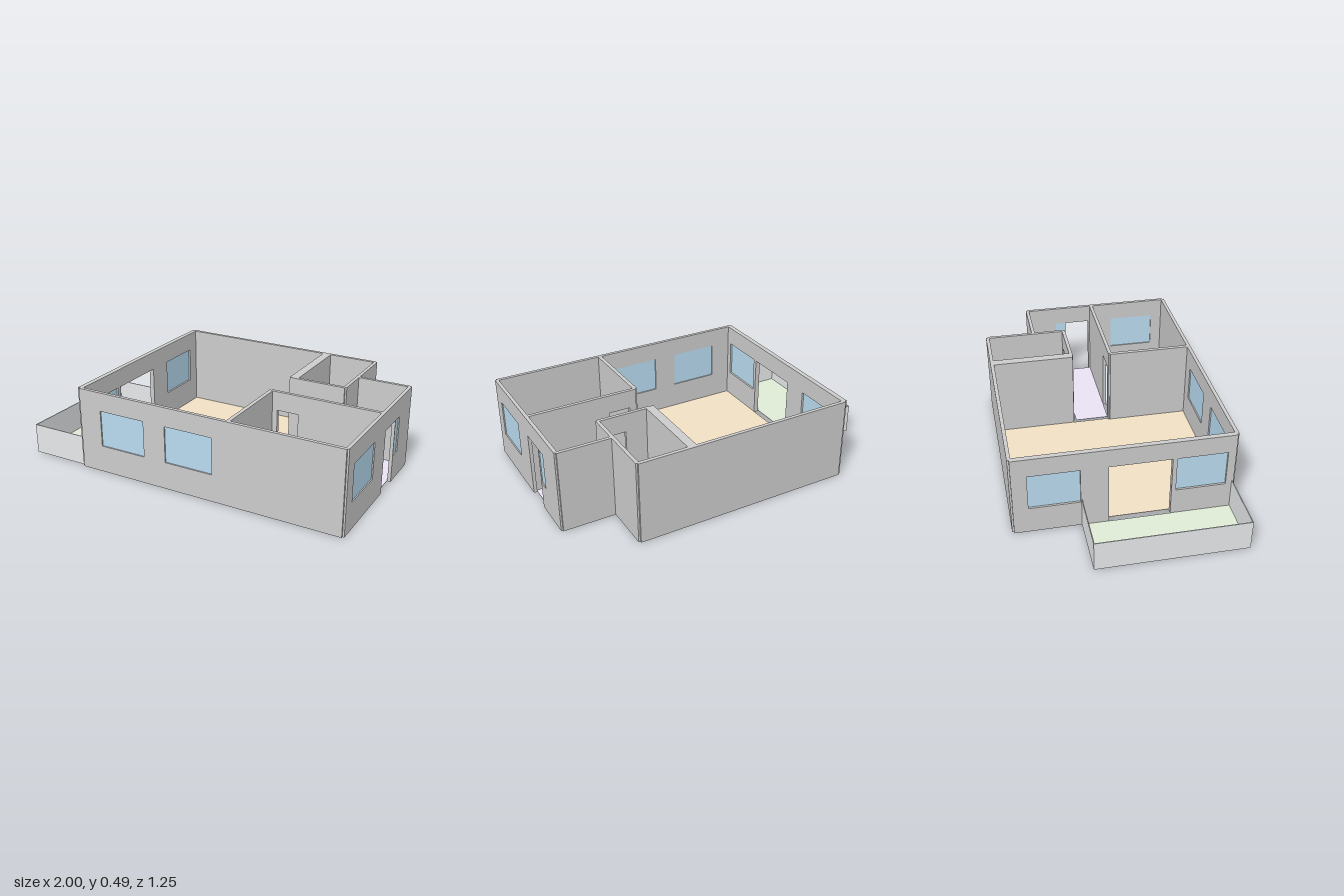
import * as THREE from 'three';

const H = 0.49;        // wall height
const DOOR = 0.378;    // head height of doors and windows
const SILL = 0.162;    // window sill height
const RAIL = 0.18;     // balcony parapet height

const mat = (color) => new THREE.MeshStandardMaterial({ color, side: THREE.DoubleSide });

export function createModel() {
  const model = new THREE.Group();
  const wallMat = mat(0xcccccc);
  const glassMat = mat(0xb8dbf0);
  const railMat = mat(0xe6e8ea);

  const add = (name, geometry, material, parent = model) => {
    const mesh = new THREE.Mesh(geometry, material);
    mesh.name = name;
    parent.add(mesh);
    return mesh;
  };

  // Wall along an axis from a to b, centred on c, with door and window openings
  // (listed as [start, end] in rising order).
  function wall(name, axis, a, b, c, t, { doors = [], windows = [] } = {}) {
    const group = new THREE.Group();
    group.name = name;
    const place = (g, depth) => (axis === 'x'
      ? g.translate(0, 0, c - depth / 2)
      : g.rotateY(-Math.PI / 2).translate(c + depth / 2, 0, 0));

    const shape = new THREE.Shape();
    shape.moveTo(a, 0);
    for (const [s, e] of doors) {
      shape.lineTo(s, 0);
      shape.lineTo(s, DOOR);
      shape.lineTo(e, DOOR);
      shape.lineTo(e, 0);
    }
    shape.lineTo(b, 0);
    shape.lineTo(b, H);
    shape.lineTo(a, H);
    shape.closePath();

    const pane = 0.006;
    for (const [s, e] of windows) {
      const rect = [[s, SILL], [s, DOOR], [e, DOOR], [e, SILL]].map((p) => new THREE.Vector2(...p));
      shape.holes.push(new THREE.Path(rect));
      const glass = new THREE.ExtrudeGeometry(new THREE.Shape(rect), { depth: pane, bevelEnabled: false });
      add('windowPane', place(glass, pane), glassMat, group);
    }
    const body = new THREE.ExtrudeGeometry(shape, { depth: t, bevelEnabled: false });
    add(name + 'Body', place(body, t), wallMat, group);
    model.add(group);
  }

  // Thin floor slab from an outline of [x, z] corners
  function floor(name, color, corners) {
    const shape = new THREE.Shape(corners.map((p) => new THREE.Vector2(...p)));
    const g = new THREE.ExtrudeGeometry(shape, { depth: 0.003, bevelEnabled: false });
    add(name, g.rotateX(Math.PI / 2).translate(0, 0.004, 0), mat(color));
  }
  const rect = (x0, x1, z0, z1) => [[x0, z0], [x1, z0], [x1, z1], [x0, z1]];

  // Outer walls
  wall('frontWall', 'x', -0.631, 0.99, 0.615, 0.021, { windows: [[-0.49, -0.2], [-0.06, 0.235]] });
  wall('backWall', 'x', -0.631, 0.673, -0.615, 0.021);
  wall('balconyWall', 'z', -0.615, 0.615, -0.631, 0.03,
    { doors: [[-0.09, 0.26]], windows: [[-0.53, -0.245], [0.285, 0.57]] });
  wall('entranceWall', 'z', -0.322, 0.615, 0.99, 0.02,
    { doors: [[-0.067, 0.09]], windows: [[-0.135, -0.07], [0.25, 0.535]] });
  wall('hallBackWall', 'x', 0.673, 0.99, -0.322, 0.02);

  // Bathroom walls
  wall('bathroomOuterWall', 'z', -0.615, -0.127, 0.673, 0.02);
  wall('bathroomThickWall', 'z', -0.615, -0.122, 0.354, 0.052);
  wall('bathroomDoorWall', 'x', 0.35, 0.673, -0.127, 0.02, { doors: [[0.51, 0.64]] });

  // Bedroom partitions
  wall('bedroomSideWall', 'z', 0.112, 0.615, 0.328, 0.023);
  wall('bedroomDoorWall', 'x', 0.328, 0.99, 0.112, 0.021, { doors: [[0.37, 0.5]] });

  // Floors
  floor('livingRoomFloor', 0xf0e0c4, [
    [-0.616, -0.605], [0.328, -0.605], [0.328, 0.102], [0.317, 0.102], [0.317, 0.605], [-0.616, 0.605]]);
  floor('bathroomFloor', 0xdff0f0, rect(0.38, 0.663, -0.605, -0.137));
  floor('bedroomFloor', 0xe0e8f3, rect(0.34, 0.98, 0.123, 0.605));
  floor('hallFloor', 0xeae2f3, [
    [0.348, -0.105], [0.684, -0.105], [0.684, -0.312], [0.98, -0.312], [0.98, 0.102], [0.348, 0.102]]);
  floor('balconyFloor', 0xe0ecd7, rect(-0.997, -0.65, -0.238, 0.606));

  // Balcony parapet
  const parapet = (name, w, d, x, z) =>
    add(name, new THREE.BoxGeometry(w, RAIL, d), railMat).position.set(x, RAIL / 2, z);
  parapet('balconyOuterParapet', 0.005, 0.85, -0.9975, 0.184);
  for (const [name, z] of [['balconyFrontParapet', 0.6065], ['balconyBackParapet', -0.2385]]) {
    parapet(name, 0.349, 0.005, -0.8205, z);
  }

  return model;
}
